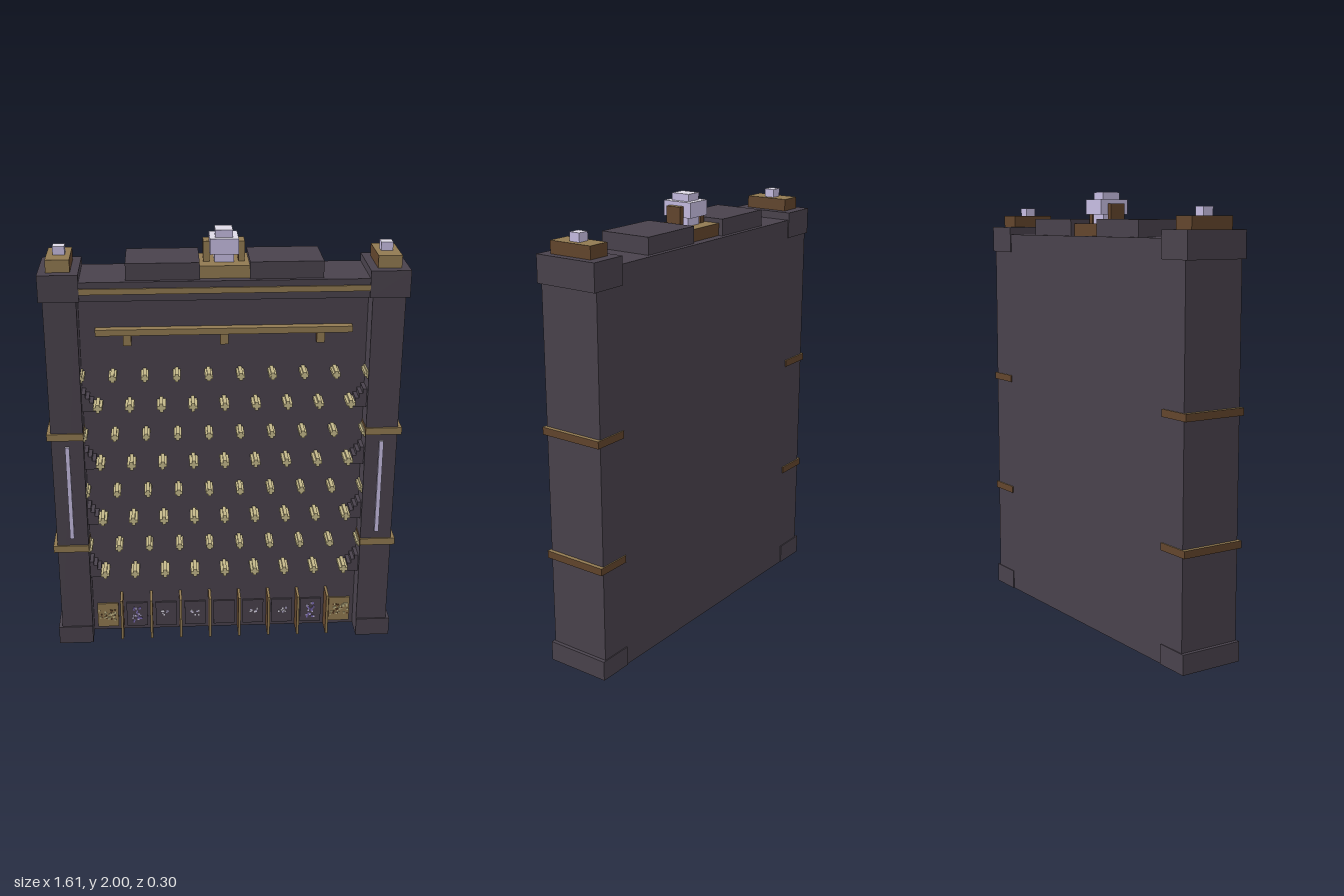
import * as THREE from 'three';

const mat = (name, color) => {
  const m = new THREE.MeshStandardMaterial({ color });
  m.name = name;
  return m;
};

export function createModel() {
  const stone = mat('dark stone', 0x49424c);
  const gold = mat('old gold', 0x917a51);
  const brown = mat('brown bronze', 0x62452c);
  const lavender = mat('lavender crystal', 0xc6bde2);
  const pale = mat('pale crystal', 0xdfdbe8);
  const cream = mat('cream peg', 0xc4b88a);
  const violet = mat('violet', 0x7f6db8);

  // Face order: +x, -x, +y, -y, +z, -z
  const bronze = [brown, brown, gold, brown, gold, brown];
  const crystal = [lavender, lavender, pale, lavender, lavender, lavender];

  const root = new THREE.Group();
  root.name = 'pegBoard';

  // Box given by its limits on each axis
  const box = (name, material, x0, x1, y0, y1, z0, z1, parent = root) => {
    const mesh = new THREE.Mesh(new THREE.BoxGeometry(x1 - x0, y1 - y0, z1 - z0), material);
    mesh.position.set((x0 + x1) / 2, (y0 + y1) / 2, (z0 + z1) / 2);
    mesh.name = name;
    parent.add(mesh);
    return mesh;
  };
  // The same box on both sides of x = 0
  const pair = (name, material, x0, x1, ...rest) => {
    box(name + 'Left', material, x0, x1, ...rest);
    box(name + 'Right', material, -x1, -x0, ...rest);
  };

  // Hollow back panel, open below, and header
  const face = 0.035;
  box('backPanel', stone, -0.64, 0.64, 0, 1.73, -0.147, -0.14);
  box('playPanel', stone, -0.64, 0.64, 0, 1.73, face - 0.007, face);
  box('header', stone, -0.63, 0.63, 1.72, 1.805, -0.147, 0.143);
  box('headerTrim', bronze, -0.627, 0.627, 1.752, 1.777, 0.143, 0.151);
  pair('roofSlab', stone, 0.108, 0.427, 1.805, 1.88, -0.125, 0.122);

  // Pillars with caps, hollow feet, bands and light strips
  pair('pillar', stone, 0.64, 0.785, 0.06, 1.73, -0.147, 0.143);
  pair('cap', stone, 0.627, 0.802, 1.72, 1.84, -0.152, 0.15);
  pair('footFront', stone, 0.64, 0.802, 0, 0.09, 0.13, 0.15);
  pair('footBack', stone, 0.64, 0.802, 0, 0.09, -0.152, -0.13);
  pair('footOuter', stone, 0.782, 0.802, 0, 0.09, -0.13, 0.13);
  pair('footInner', stone, 0.64, 0.66, 0, 0.09, -0.13, 0.13);
  for (const y of [0.503, 1.073]) pair('band', bronze, 0.638, 0.803, y, y + 0.033, -0.152, 0.152);
  pair('lightStrip', crystal, 0.704, 0.723, 0.575, 1.04, 0.143, 0.152);
  pair('capPlinth', bronze, 0.663, 0.767, 1.84, 1.895, -0.105, 0.105);
  pair('capCrystal', crystal, 0.687, 0.739, 1.895, 1.933, -0.025, 0.025);

  // Central crystal in its bracket
  box('crystalPlinth', bronze, -0.108, 0.108, 1.805, 1.86, -0.105, 0.105);
  pair('crystalBracket', bronze, 0.063, 0.09, 1.86, 1.95, -0.036, 0.036);
  box('crystalFoot', crystal, -0.042, 0.042, 1.86, 1.9, -0.045, 0.045);
  box('crystalBody', crystal, -0.062, 0.062, 1.9, 1.968, -0.072, 0.072);
  box('crystalTip', crystal, -0.038, 0.038, 1.968, 2, -0.045, 0.045);

  // Drop shelf and its brackets
  box('shelf', bronze, -0.57, 0.57, 1.54, 1.568, face, 0.075);
  for (const x of [-0.43, 0, 0.43]) box('shelfBracket', bronze, x - 0.018, x + 0.018, 1.49, 1.54, face, 0.065);

  // Staggered pegs with a plus-shaped section, and stepped side bumpers
  const pitch = 0.1425;
  const pegs = new THREE.Group();
  pegs.name = 'pegs';
  root.add(pegs);
  for (let row = 0; row < 8; row++) {
    const y = 1.357 - row * pitch;
    const count = row % 2 ? 9 : 10;
    const r = row % 2 ? 0.02 : 0.017;
    for (let i = 0; i < count; i++) {
      const x = (i - (count - 1) / 2) * pitch;
      box('pegWide', cream, x - r, x + r, y - 0.008, y + 0.008, face, 0.127, pegs);
      box('pegTall', cream, x - 0.008, x + 0.008, y - r, y + r, face, 0.128, pegs);
    }
    if (row % 2) {
      for (let s = 0; s < 4; s++) {
        const y0 = y - 0.016 + s * 0.021;
        pair('bumperStep', stone, 0.572 + s * 0.017, 0.641, y0, y0 + 0.021, face, 0.115);
      }
    }
  }

  // Slot dividers
  for (let i = 0; i < 8; i++) {
    const x = (i - 3.5) * pitch;
    box('divider', bronze, x - 0.006, x + 0.006, 0, 0.212, face, 0.128);
  }

  // Slot plaques with small speckled emblems
  let seed = 7;
  const rand = () => (seed = (seed * 16807) % 2147483647) / 2147483647;
  // Emblem colour, accent, speck count, half width, half height
  const emblems = [
    null,
    [pale, lavender, 8, 0.022, 0.014],
    [pale, lavender, 7, 0.022, 0.014],
    [violet, lavender, 24, 0.02, 0.042],
    [cream, brown, 34, 0.042, 0.03],
  ];
  for (let i = -4; i <= 4; i++) {
    const x = i * pitch;
    const k = Math.abs(i);
    box('plaque', k === 4 ? bronze : stone, x - 0.051, x + 0.051, 0.02, 0.15, face, face + 0.009);
    if (!emblems[k]) continue;
    const [main, accent, count, w, h] = emblems[k];
    for (let n = 0; n < count; n++) {
      const px = x + (rand() * 2 - 1) * w;
      const py = 0.087 + (rand() * 2 - 1) * h;
      const m = n % 3 === 2 ? accent : main;
      box('emblemSpeck', m, px - 0.004, px + 0.004, py - 0.004, py + 0.004, face + 0.009, face + 0.011 + n * 0.0001);
    }
  }
  return root;
}
